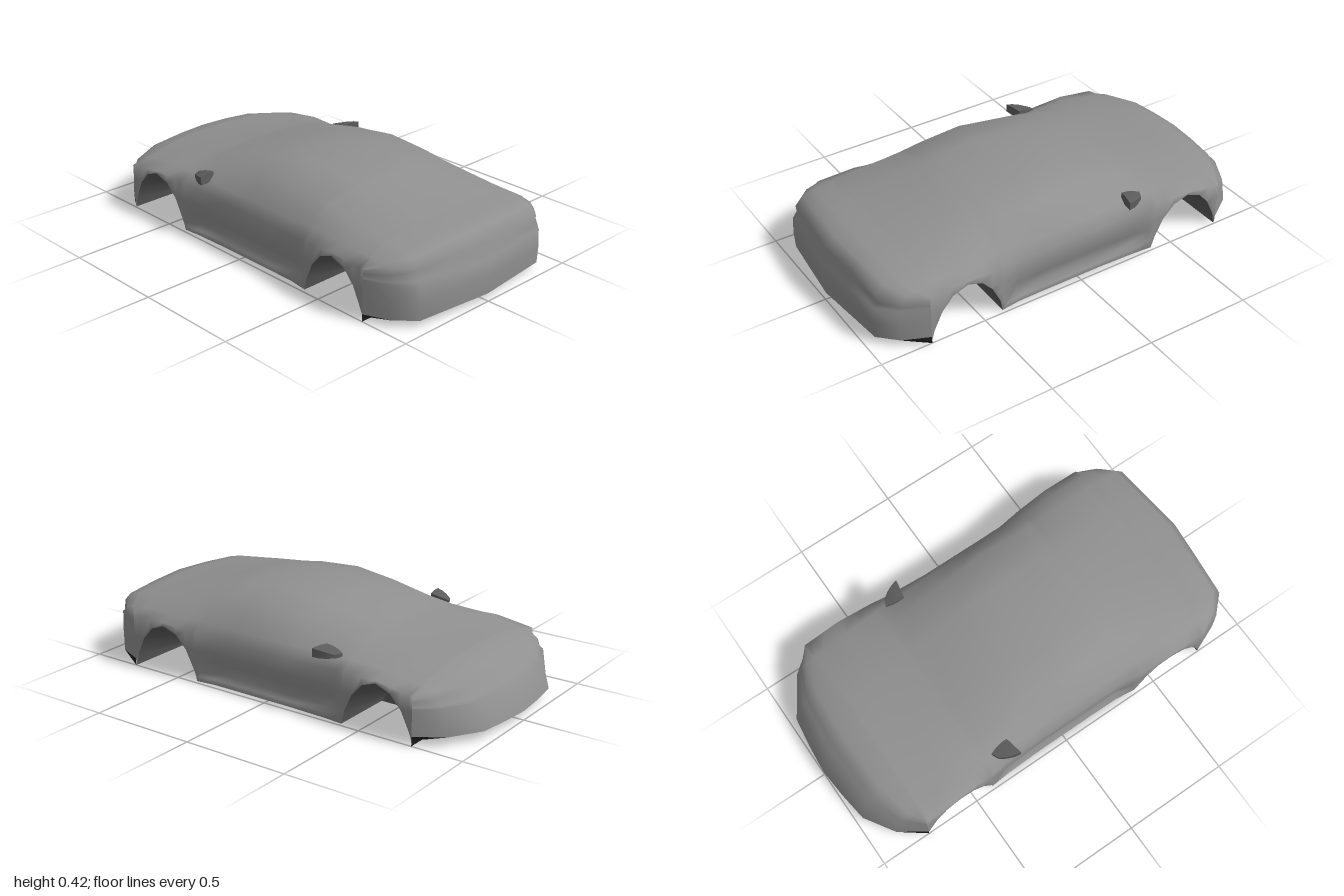
import * as THREE from 'three';
import { mergeVertices, toCreasedNormals } from 'three/addons/utils/BufferGeometryUtils.js';

const FLOOR = 0.008, WELL_X = 0.18, ARCH_Z = 0.58, ARCH_R = 0.18, END = 0.76;

// Body sections: z, roof height, roof edge x/y, belt x/y, half width, shoulder y
const KEYS = [
  [-0.76, 0.292, 0.28, 0.275, 0.42, 0.245, 0.5, 0.225],
  [-0.58, 0.312, 0.28, 0.3, 0.42, 0.275, 0.5, 0.25],
  [-0.42, 0.335, 0.3, 0.32, 0.43, 0.28, 0.49, 0.25],
  [-0.3, 0.365, 0.33, 0.34, 0.435, 0.28, 0.48, 0.24],
  [-0.12, 0.41, 0.33, 0.375, 0.44, 0.28, 0.475, 0.23],
  [0.1, 0.427, 0.35, 0.395, 0.44, 0.28, 0.475, 0.23],
  [0.3, 0.423, 0.345, 0.385, 0.44, 0.28, 0.475, 0.23],
  [0.42, 0.408, 0.35, 0.365, 0.44, 0.285, 0.49, 0.24],
  [0.58, 0.375, 0.36, 0.345, 0.45, 0.285, 0.5, 0.255],
  [0.76, 0.342, 0.37, 0.32, 0.45, 0.28, 0.5, 0.25],
];

function keyAt(z) {
  let i = 0;
  while (i < KEYS.length - 2 && z > KEYS[i + 1][0]) i++;
  const [a, b] = [KEYS[i], KEYS[i + 1]];
  const t = THREE.MathUtils.clamp((z - a[0]) / (b[0] - a[0]), 0, 1);
  return a.map((v, k) => v + (b[k] - v) * t);
}

// Height of the wheel arch opening at z
function archY(z) {
  const u = (Math.abs(z) - ARCH_Z) / ARCH_R;
  return FLOOR + 0.23 * Math.pow(Math.max(0, 1 - u * u), 0.7);
}

// Upper half section, centre to shoulder
function upperHalf(z) {
  const [, top, cx, cy, bx, by, w, sy] = keyAt(z);
  return [[0, top], [cx / 2, top - 0.25 * (top - cy)], [cx, cy], [bx, by], [w, sy]];
}

// Half section with the recessed door and the sill ledge, kept above the arch
function fullHalf(z) {
  const w = keyAt(z)[6], arch = archY(z);
  const k = THREE.MathUtils.clamp((0.38 - Math.abs(z)) / 0.07, 0, 1);
  const side = [[w, 0.16], [w - 0.012 * k, 0.11], [w - 0.028 * k, 0.052], [w, 0.036], [w - 0.005, FLOOR]];
  return [...upperHalf(z), ...side.map(([x, y]) => [x, Math.max(y, arch)])];
}

// Mirrors a half row of points, from +x to -x
const mirrorRow = (half) => [...half.slice(1).reverse(), ...half.map(([x, y, z]) => [-x, y, z])];

function gridTriangles(rows, out) {
  const v = (p) => new THREE.Vector3(...p);
  const tri = (a, b, c) => {
    if (new THREE.Triangle(v(a), v(b), v(c)).getArea() > 1e-7) out.push(...a, ...b, ...c);
  };
  for (let i = 0; i < rows.length - 1; i++) {
    for (let j = 0; j < rows[i].length - 1; j++) {
      const a = rows[i][j], b = rows[i][j + 1], c = rows[i + 1][j], d = rows[i + 1][j + 1];
      tri(a, b, c);
      tri(b, d, c);
    }
  }
}

// One smooth surface from grids that share their border points
function surface(grids) {
  const out = [];
  grids.forEach((g) => gridTriangles(g, out));
  const geo = new THREE.BufferGeometry();
  geo.setAttribute('position', new THREE.Float32BufferAttribute(out, 3));
  const merged = mergeVertices(geo, 1e-4);
  merged.computeVertexNormals();
  return merged;
}

// Nose or tail: a [z, y] profile swept around the rounded plan
function endRows(zEnd, profile, reach, base) {
  const half = upperHalf(zEnd), top = half[0][1];
  return profile.map(([z, y]) => {
    const k = THREE.MathUtils.clamp((y - base) / (top - base), 0, 1);
    return mirrorRow(half.map(([x, hy], i) => [x, y - (top - hy) * k, zEnd + (z - zEnd) * reach[i]]));
  });
}

export function createModel() {
  const car = new THREE.Group();
  car.name = 'carBody';
  const paint = new THREE.MeshStandardMaterial({ color: 0x909090 });
  const wellDark = new THREE.MeshStandardMaterial({ color: 0x5c5c5c });
  const underDark = new THREE.MeshStandardMaterial({ color: 0x262626 });
  const add = (name, geo, material) => {
    const mesh = new THREE.Mesh(geo, material);
    mesh.name = name;
    car.add(mesh);
  };

  // Main shell, lofted from wheel arch to wheel arch
  const us = [-1, -0.92, -0.7, -0.4, 0, 0.4, 0.7, 0.92, 1];
  const archZs = (s) => us.map((u) => s * ARCH_Z + u * ARCH_R);
  const stations = [...archZs(-1), -0.38, -0.31, -0.12, 0, 0.1, 0.2, 0.31, 0.38, ...archZs(1)];
  const shell = stations.map((z) => mirrorRow(fullHalf(z).map(([x, y]) => [x, y, z])));

  // Nose: bumper, ledge, hood edge
  const noseReach = [1, 0.95, 0.87, 0.5, 0];
  const nose = endRows(-END, [[-1, 0.05], [-0.96, 0.17], [-0.925, 0.18],
    [-0.905, 0.235], [-0.85, 0.268], [-END, 0.292]], noseReach, 0.17);

  // Tail: deck, recessed rear panel, bumper
  const tailReach = [1, 0.92, 0.84, 0.5, 0];
  const tail = endRows(END, [[END, 0.342], [0.86, 0.33], [0.93, 0.315], [0.972, 0.27], [0.965, 0.212],
    [0.995, 0.2], [1, 0.12], [0.995, 0.042]], tailReach, 0.2);
  add('bodyShell', surface([nose, shell, tail]), paint);

  // Undersides of the bumpers
  add('frontUnderside', surface([endRows(-END, [[-END, FLOOR], [-1, 0.05]], noseReach, 0.17)]), underDark);
  add('rearUnderside', surface([endRows(END, [[0.995, 0.042], [END, FLOOR]], tailReach, 0.2)]), underDark);

  // Wheel wells: an upright inner wall and a liner rising to the arch rim
  for (const sx of [1, -1]) {
    for (const sz of [1, -1]) {
      const rows = archZs(sz).map((z) => {
        const [x, y] = fullHalf(z).pop();
        const inner = FLOOR + (y - FLOOR) * 0.5;
        const row = [[sx * WELL_X, FLOOR, z], [sx * WELL_X, inner, z], [sx * x, y, z]];
        return sx > 0 ? row : row.reverse();
      });
      add((sz < 0 ? 'front' : 'rear') + (sx > 0 ? 'Left' : 'Right') + 'WheelWell', surface([rows]), wellDark);
    }
  }

  // Floor with four notches for the wheels
  const inZ = ARCH_Z - ARCH_R, sill = 0.48;
  const quarter = [[sill, inZ], [WELL_X, inZ], [WELL_X, END]];
  const right = [...quarter.map(([x, z]) => [x, -z]).reverse(), ...quarter];
  const outline = [...right, ...right.map(([x, z]) => [-x, z]).reverse()];
  const floor = new THREE.ShapeGeometry(new THREE.Shape(outline.map(([x, z]) => new THREE.Vector2(x, z))));
  floor.rotateX(Math.PI / 2).translate(0, FLOOR, 0);
  add('floor', floor, underDark);

  // Door mirrors: flat glass to the rear, shell tapering forward and inward
  for (const s of [1, -1]) {
    const geo = new THREE.BoxGeometry(0.085, 0.045, 0.09, 2, 2, 3);
    const p = geo.attributes.position;
    for (let i = 0; i < p.count; i++) {
      const [x, y, z] = [p.getX(i), p.getY(i), p.getZ(i)];
      const t = 0.5 - z / 0.09, k = 1 - 0.6 * t * t, out = x / 0.0425;
      p.setXYZ(i, s * (0.452 + x * k - 0.012 * t),
        0.298 + y * k * (1 - 0.15 * out * out) - 0.01 * t, -0.31 + z + 0.008 * out);
    }
    if (s < 0) {
      const idx = geo.index.array;
      for (let i = 0; i < idx.length; i += 3) [idx[i], idx[i + 1]] = [idx[i + 1], idx[i]];
    }
    add(s > 0 ? 'leftMirror' : 'rightMirror', toCreasedNormals(geo, 0.8), wellDark);
  }
  return car;
}
